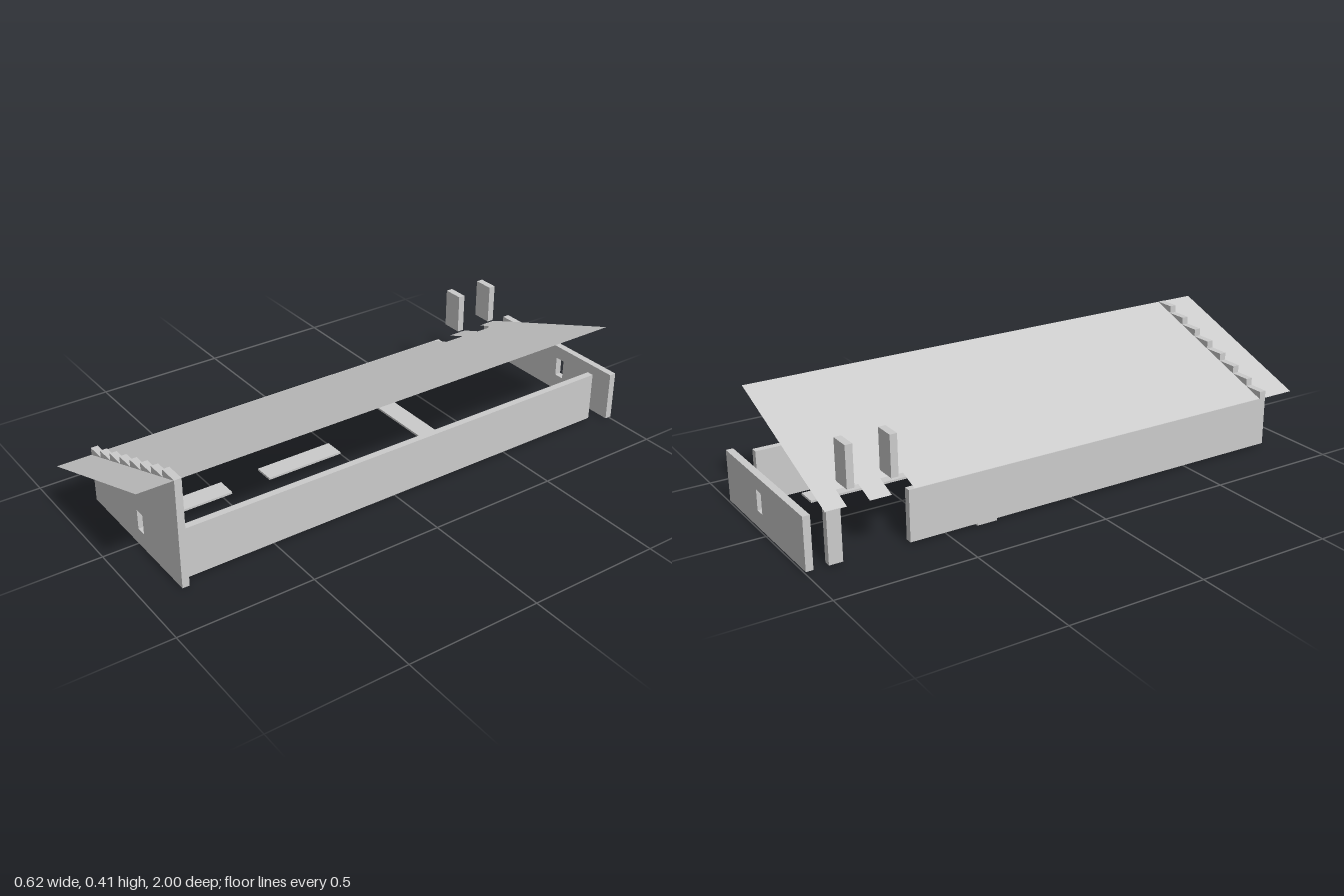
import * as THREE from 'three';

const W = 0.308;          // half width
const T = 0.026;          // panel thickness
const BASE = 0.01;        // underside of the walls
const STEP = (2 * W) / 8; // grid step across the width

export function createModel() {
  const model = new THREE.Group();
  const mat = new THREE.MeshStandardMaterial({ color: 0xcccccc, flatShading: true });
  const sheetMat = mat.clone();
  sheetMat.side = THREE.DoubleSide;

  const add = (name, geometry, material = mat) => {
    const mesh = new THREE.Mesh(geometry, material);
    mesh.name = name;
    model.add(mesh);
    return mesh;
  };

  // Box given by its limits
  const box = (name, x0, x1, y0, y1, z0, z1) =>
    add(name, new THREE.BoxGeometry(x1 - x0, y1 - y0, z1 - z0))
      .position.set((x0 + x1) / 2, (y0 + y1) / 2, (z0 + z1) / 2);

  // End wall: an outline with a small window, extruded along z
  const endWall = (name, points, z) => {
    const shape = new THREE.Shape(points.map(([x, y]) => new THREE.Vector2(x, y)));
    const hole = new THREE.Path();
    hole.moveTo(0.018, 0.073).lineTo(0.018, 0.148).lineTo(0.057, 0.148).lineTo(0.057, 0.073).closePath();
    shape.holes.push(hole);
    add(name, new THREE.ExtrudeGeometry(shape, { depth: T, bevelEnabled: false })).position.z = z;
  };

  // Front gable with eight steps
  const gable = [[-W, BASE], [W, BASE]];
  for (let i = 7; i >= 0; i--) {
    const y = 0.221 + i * 0.0278;
    gable.push([-W + (i + 1) * STEP, y], [-W + i * STEP, y]);
  }
  endWall('frontWall', gable, 0.846);

  // Low detached back wall
  endWall('backWall', [[-W, BASE], [W, BASE], [W, 0.198], [-W, 0.198]], -1);

  // Side walls; the right one has a gap near the back
  box('leftWall', 0.241, 0.267, BASE, 0.198, -0.922, 0.846);
  box('rightWall', -W, -W + T, BASE, 0.194, -0.635, 0.846);
  box('rightWallEnd', -W, -W + T, BASE, 0.194, -0.922, -0.873);

  // Sloping roof sheet with two notches in the low edge, drawn in (x, z)
  const n = -W + STEP;
  const outline = [
    [-W, 1], [W, 1], [W, -0.925], [-W, -0.925],
    [-W, -0.85], [n, -0.85], [n, -0.772], [-W, -0.772],
    [-W, -0.695], [n, -0.695], [n, -0.613], [-W, -0.613],
  ];
  const roof = new THREE.ShapeGeometry(new THREE.Shape(outline.map(([x, z]) => new THREE.Vector2(x, -z))));
  roof.rotateX(-Math.PI / 2);
  const p = roof.attributes.position;
  for (let i = 0; i < p.count; i++) p.setY(i, 0.304 + p.getX(i) * (0.111 / W));
  roof.computeVertexNormals();
  add('roof', roof, sheetMat);

  // Upright slabs above the notches
  for (const z of [-0.848, -0.695]) box('chimneySlab', -W, n, 0.25, 0.397, z, z + T);

  // Thin floor plates
  const plate = (x0, x1, z0, z1) => box('floorPlate', x0, x1, 0.002, BASE, z0, z1);
  for (const x of [-2 * STEP, 2 * STEP]) {
    plate(x, x + STEP, 0.462, 0.77);
    plate(x, x + STEP, 0, 0.308);
  }
  plate(2 * STEP, 3 * STEP, -0.77, -0.308);
  plate(-W, 2 * STEP, -0.385, -0.308);

  return model;
}
